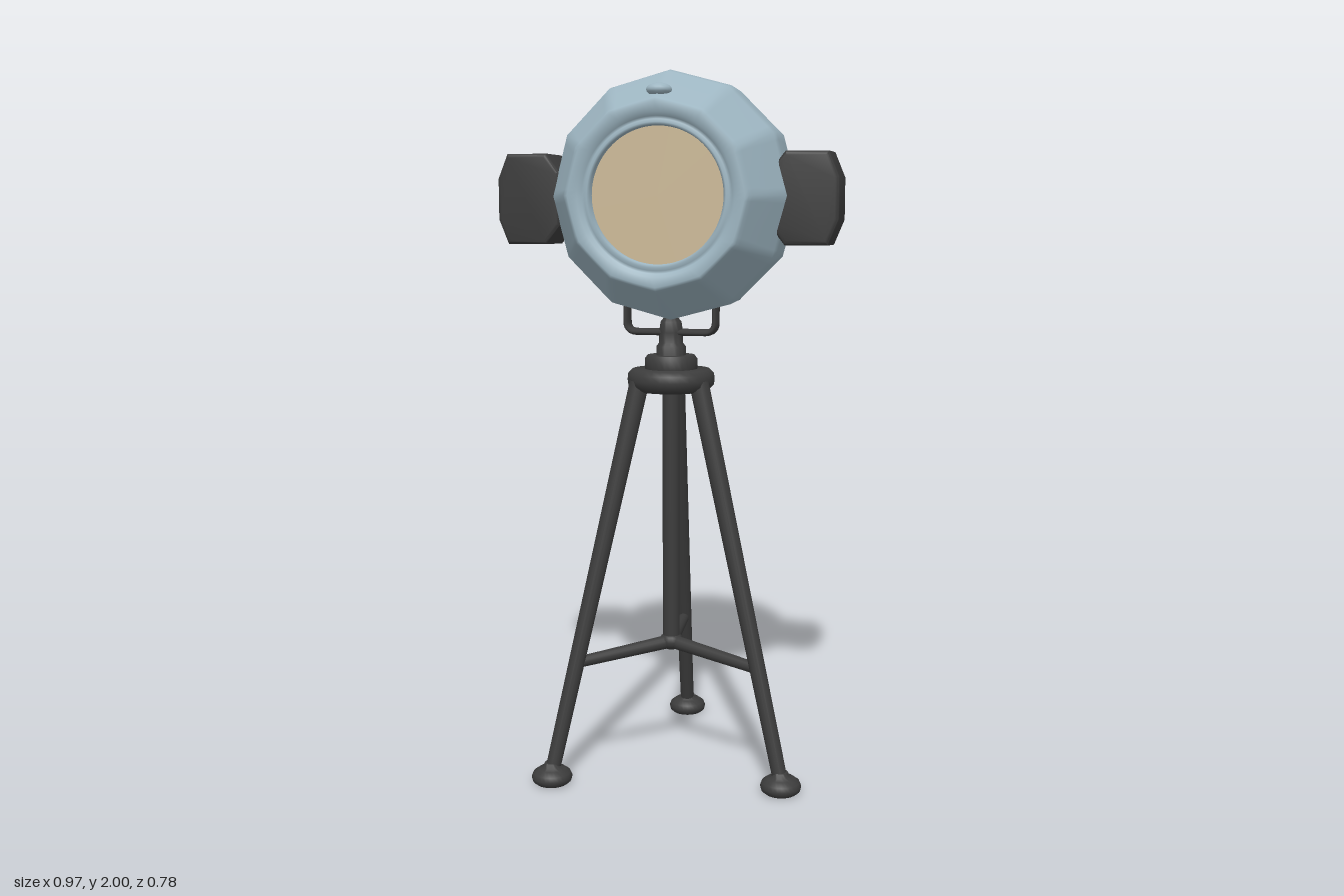
import * as THREE from 'three';
import { mergeVertices, toCreasedNormals } from 'three/addons/utils/BufferGeometryUtils.js';

const V = (x, y, z) => new THREE.Vector3(x, y, z);

export function createModel() {
  const group = new THREE.Group();
  const paint = new THREE.MeshStandardMaterial({ color: 0x9db5c1 });
  paint.name = 'pale blue paint';
  const dark = new THREE.MeshStandardMaterial({ color: 0x3c3c3c });
  dark.name = 'dark metal';
  const glass = new THREE.MeshStandardMaterial({ color: 0xcdba98 });
  glass.name = 'cream lens';

  const add = (name, geometry, material, x = 0, y = 0, z = 0) => {
    const mesh = new THREE.Mesh(geometry, material);
    mesh.name = name;
    mesh.position.set(x, y, z);
    group.add(mesh);
    return mesh;
  };

  // Round bar between two points
  const bar = (name, a, b, ra, rb) => {
    const d = b.clone().sub(a);
    const m = add(name, new THREE.CylinderGeometry(rb, ra, d.length(), 16), dark);
    m.position.copy(a).add(b).multiplyScalar(0.5);
    m.quaternion.setFromUnitVectors(V(0, 1, 0), d.normalize());
  };

  // Turned part with softened edges
  const turned = (name, pts, x, y, z) => {
    const g = new THREE.LatheGeometry(pts.map((p) => new THREE.Vector2(...p)), 28);
    add(name, toCreasedNormals(g, 0.9), dark, x, y, z);
  };

  // Lamp housing: twelve soft facets that blend into a round front rim
  const profile = [[0, -0.217], [0.07, -0.215], [0.09, -0.21], [0.215, -0.155], [0.235, -0.14],
    [0.325, -0.012], [0.337, 0.012], [0.342, 0.15], [0.336, 0.175], [0.262, 0.3], [0.255, 0.314],
    [0.245, 0.32], [0.218, 0.318], [0.208, 0.306], [0.2, 0.306], [0.192, 0.311], [0.185, 0.307], [0.182, 0.28]];
  let shell = new THREE.LatheGeometry(profile.map((p) => new THREE.Vector2(...p)), 96);
  const pos = shell.attributes.position;
  const step = Math.PI / 6;
  for (let i = 0; i < pos.count; i++) {
    const x = pos.getX(i), z = pos.getZ(i);
    const a = (Math.atan2(x, z) + 2 * Math.PI) % step;
    const flat = Math.cos(step / 2) / Math.cos(a - step / 2);
    const round = pos.getY(i) > 0.2 ? THREE.MathUtils.smoothstep(Math.hypot(x, z), 0.2, 0.27) : 1;
    const k = 1 + (flat - 1) * round;
    pos.setX(i, x * k);
    pos.setZ(i, z * k);
  }
  shell.deleteAttribute('uv');
  shell.deleteAttribute('normal');
  shell = mergeVertices(shell, 1e-5);
  shell.rotateX(Math.PI / 2);
  shell.computeVertexNormals();
  add('lampHousing', shell, paint, 0.015, 1.662, 0);

  // Lens and the small raised nub above it
  add('lens', new THREE.CircleGeometry(0.185, 64), glass, 0.015, 1.662, 0.292);
  const nub = add('housingNub', new THREE.SphereGeometry(1, 16, 10), paint, 0.015, 1.94, 0.27);
  nub.scale.set(0.035, 0.018, 0.035);

  // Side knobs: bevelled octagonal blocks that narrow outward
  const outline = [[0.31, 1.585], [0.345, 1.54], [0.45, 1.54], [0.475, 1.6],
    [0.475, 1.71], [0.45, 1.77], [0.345, 1.77], [0.31, 1.725]];
  for (const [side, name] of [[1, 'leftKnob'], [-1, 'rightKnob']]) {
    const pts = outline.map(([x, y]) => new THREE.Vector2(side * x, y));
    const g = new THREE.ExtrudeGeometry(new THREE.Shape(pts), {
      depth: 0.13, bevelSize: 0.011, bevelThickness: 0.011, bevelSegments: 3 });
    g.translate(0, 0, -0.065);
    const p = g.attributes.position;
    for (let i = 0; i < p.count; i++) {
      const t = (Math.abs(p.getX(i)) - 0.3) / 0.19;
      p.setZ(i, p.getZ(i) * (1.02 - 0.15 * t));
    }
    add(name, toCreasedNormals(g, 0.6), dark, 0, 0, 0.107);
  }

  // Yoke strap under the housing
  const yoke = new THREE.CurvePath();
  const corner = 0.03;
  yoke.add(new THREE.LineCurve3(V(-0.13, 1.37, 0), V(-0.13, 1.28 + corner, 0)));
  yoke.add(new THREE.QuadraticBezierCurve3(V(-0.13, 1.28 + corner, 0), V(-0.13, 1.28, 0), V(-0.1, 1.28, 0)));
  yoke.add(new THREE.LineCurve3(V(-0.1, 1.28, 0), V(0.1, 1.28, 0)));
  yoke.add(new THREE.QuadraticBezierCurve3(V(0.1, 1.28, 0), V(0.13, 1.28, 0), V(0.13, 1.28 + corner, 0)));
  yoke.add(new THREE.LineCurve3(V(0.13, 1.28 + corner, 0), V(0.13, 1.37, 0)));
  const strap = add('yoke', new THREE.TubeGeometry(yoke, 60, 0.01, 10), dark, 0, 0, 0.085);
  strap.scale.z = 2.8;

  // Swivel neck and tripod head
  const hub = V(0, 0, 0.088);
  turned('swivelNeck', [[0, 1.18], [0.042, 1.18], [0.042, 1.24], [0.034, 1.25], [0.034, 1.28],
    [0.03, 1.31], [0.014, 1.33], [0, 1.335]], hub.x, 0, hub.z);
  turned('collar', [[0, 1.16], [0.07, 1.16], [0.075, 1.175], [0.075, 1.205], [0.068, 1.215], [0, 1.215]], hub.x, 0, hub.z);
  turned('tripodHead', [[0, 1.113], [0.1, 1.113], [0.11, 1.118], [0.123, 1.13], [0.125, 1.145],
    [0.123, 1.163], [0.112, 1.175], [0, 1.178]], hub.x, 0, hub.z);

  // Centre column and spreader joint
  bar('centreColumn', V(hub.x, 0.37, hub.z), V(hub.x, 1.14, hub.z), 0.025, 0.025);
  const joint = add('spreaderJoint', new THREE.SphereGeometry(0.034, 16, 12), dark, hub.x, 0.37, hub.z);
  joint.scale.y = 0.8;

  // Legs with feet and spreader arms
  for (const [fx, fz] of [[-0.29, 0.333], [0.358, 0.242], [-0.055, -0.335]]) {
    const foot = V(fx, 0.03, fz);
    const top = V(fx, 0, fz).sub(hub).setLength(0.1).add(hub).setY(1.14);
    bar('leg', foot, top, 0.021, 0.028);
    bar('spreaderArm', V(hub.x, 0.368, hub.z), foot.clone().lerp(top, 0.283), 0.02, 0.016);
    turned('foot', [[0, 0], [0.045, 0], [0.055, 0.008], [0.058, 0.02], [0.053, 0.032],
      [0.038, 0.043], [0.026, 0.048], [0.02, 0.06], [0, 0.06]], fx, 0, fz);
  }
  return group;
}
